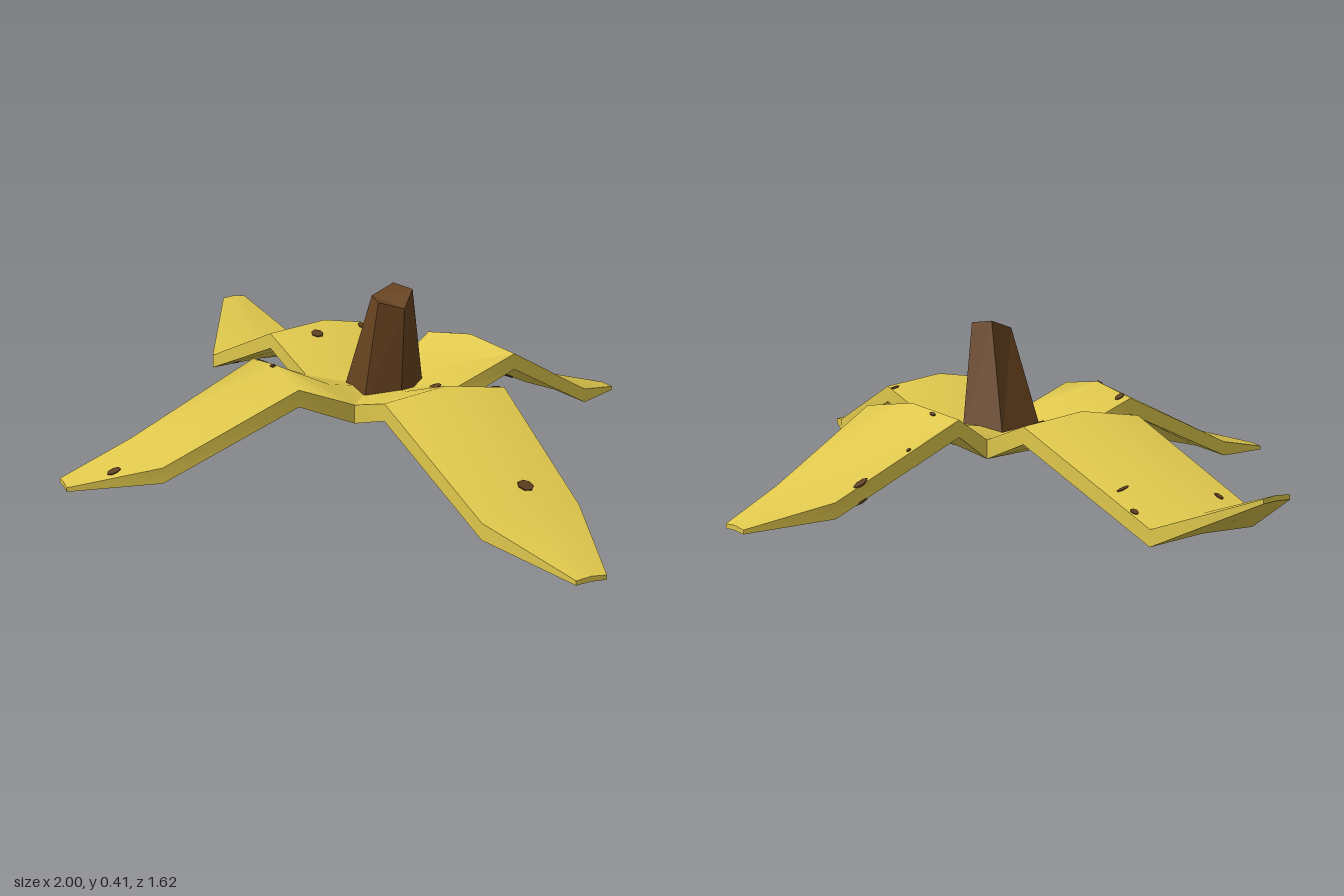
import * as THREE from 'three';
import { toCreasedNormals } from 'three/addons/utils/BufferGeometryUtils.js';

const mat = (name, color) => {
  const m = new THREE.MeshStandardMaterial({ color });
  m.name = name;
  return m;
};

// Skins a list of equal-length rings and caps the last one
function loft(rings) {
  const pos = [];
  const tri = (...pts) => pts.forEach((p) => pos.push(...p));
  for (let i = 0; i + 1 < rings.length; i++) {
    const r = rings[i], s = rings[i + 1], n = r.length;
    for (let j = 0; j < n; j++) {
      const k = (j + 1) % n;
      tri(r[j], r[k], s[k]);
      tri(r[j], s[k], s[j]);
    }
  }
  const cap = rings[rings.length - 1];
  for (let j = 1; j + 1 < cap.length; j++) tri(cap[0], cap[j], cap[j + 1]);
  const g = new THREE.BufferGeometry();
  g.setAttribute('position', new THREE.Float32BufferAttribute(pos, 3));
  return g;
}

// Cross-section of a flap: two edges, a raised middle line and an underside
function flapRing([ax, az, bx, bz], top, edge, bottom) {
  const mx = (ax + bx) / 2, mz = (az + bz) / 2;
  return [
    [ax, edge, az], [mx, top, mz], [bx, edge, bz],
    [bx, bottom, bz], [mx, bottom + (top - edge) * 0.5, mz], [ax, bottom, az],
  ];
}

// Crown, edge and underside heights from the centre to the tip
const HEIGHTS = [
  [0.14, 0.14, 0.09],
  [0.165, 0.152, 0.105],
  [0.235, 0.212, 0.17],
  [0.072, 0.058, 0.02],
  [0.016, 0.012, 0.002],
];

// Edge points (ax, az, bx, bz) at root, bend, knee and tip
const FLAPS = {
  leftFlap: [[0.17, -0.14, 0.14, 0.15], [0.39, -0.11, 0.33, 0.2], [0.77, 0, 0.73, 0.24], [1, 0.14, 0.985, 0.21]],
  backFlap: [[-0.13, -0.2, 0.17, -0.14], [-0.135, -0.29, 0.175, -0.33], [-0.1, -0.62, 0.14, -0.62], [-0.02, -0.81, 0.055, -0.81]],
  rightFlap: [[-0.15, 0.1, -0.13, -0.2], [-0.37, 0.07, -0.3, -0.235], [-0.76, 0.03, -0.73, -0.265], [-1, -0.15, -0.99, -0.22]],
  frontFlap: [[0.14, 0.15, -0.15, 0.1], [0.125, 0.3, -0.18, 0.24], [0.035, 0.62, -0.205, 0.58], [-0.09, 0.805, -0.16, 0.79]],
};

// Spots: x, z, width, depth, also on the underside
const SPOTS = [
  [-0.1, -0.55, 0.02, 0.04, 1], [-0.11, -0.42, 0.01, 0.012, 0], [-0.06, -0.31, 0.02, 0.01, 0],
  [-0.67, -0.25, 0.02, 0.015, 0], [-0.6, -0.215, 0.008, 0.035, 0], [-0.29, -0.18, 0.035, 0.022, 1],
  [-0.29, -0.03, 0.038, 0.03, 1], [-0.7, -0.015, 0.025, 0.015, 1], [0.37, -0.1, 0.01, 0.025, 0],
  [0.69, 0.085, 0.035, 0.04, 1], [0.125, -0.11, 0.022, 0.035, 1], [-0.145, 0.235, 0.02, 0.03, 1],
  [-0.03, 0.275, 0.02, 0.012, 0], [-0.055, 0.7, 0.025, 0.035, 1],
];

export function createModel() {
  const group = new THREE.Group();
  const yellow = mat('peelYellow', 0xdfc74c);
  const stemBrown = mat('stemBrown', 0x66421f);
  const spotBrown = mat('spotBrown', 0x5e4020);

  // Four flaps meeting at the centre
  const flaps = Object.entries(FLAPS).map(([name, sections]) => {
    const rings = [[0, 0, 0, 0], ...sections].map((s, i) => {
      const raised = name === 'rightFlap' && i === 4 ? 0.15 : 0;
      return flapRing(s, ...HEIGHTS[i].map((h) => h + raised));
    });
    const mesh = new THREE.Mesh(toCreasedNormals(loft(rings), 0.9), yellow);
    mesh.name = name;
    group.add(mesh);
    return mesh;
  });

  // Leaning five-sided stem with a slanted cut top
  const base = [[-0.055, 0.045], [0.075, 0.075], [0.128, 0], [0.055, -0.125], [-0.06, -0.09]];
  const cut = [[0.045, 0.39, 0.03], [0.1, 0.385, 0.05], [0.14, 0.37, 0], [0.1, 0.405, -0.055], [0.04, 0.413, -0.04]];
  const stemGeo = loft([base.map(([x, z]) => [x, 0.13, z]), cut]);
  stemGeo.computeVertexNormals();
  const stem = new THREE.Mesh(stemGeo, stemBrown);
  stem.name = 'stem';
  group.add(stem);

  // Thin spots laid on the skin
  const ray = new THREE.Raycaster();
  const up = new THREE.Vector3(0, 1, 0);
  const spots = new THREE.Group();
  spots.name = 'spots';
  for (const [x, z, w, d, under] of SPOTS) {
    for (const side of under ? [1, -1] : [1]) {
      ray.set(new THREE.Vector3(x, side, z), new THREE.Vector3(0, -side, 0));
      const hit = ray.intersectObjects(flaps)[0];
      if (!hit) continue;
      const spot = new THREE.Mesh(new THREE.CylinderGeometry(0.5, 0.5, 0.005, 7).scale(w, 1, d), spotBrown);
      spot.name = 'spot';
      spot.position.copy(hit.point);
      spot.quaternion.setFromUnitVectors(up, hit.face.normal.clone().multiplyScalar(Math.sign(hit.face.normal.y) || 1));
      spots.add(spot);
    }
  }
  group.add(spots);
  return group;
}
